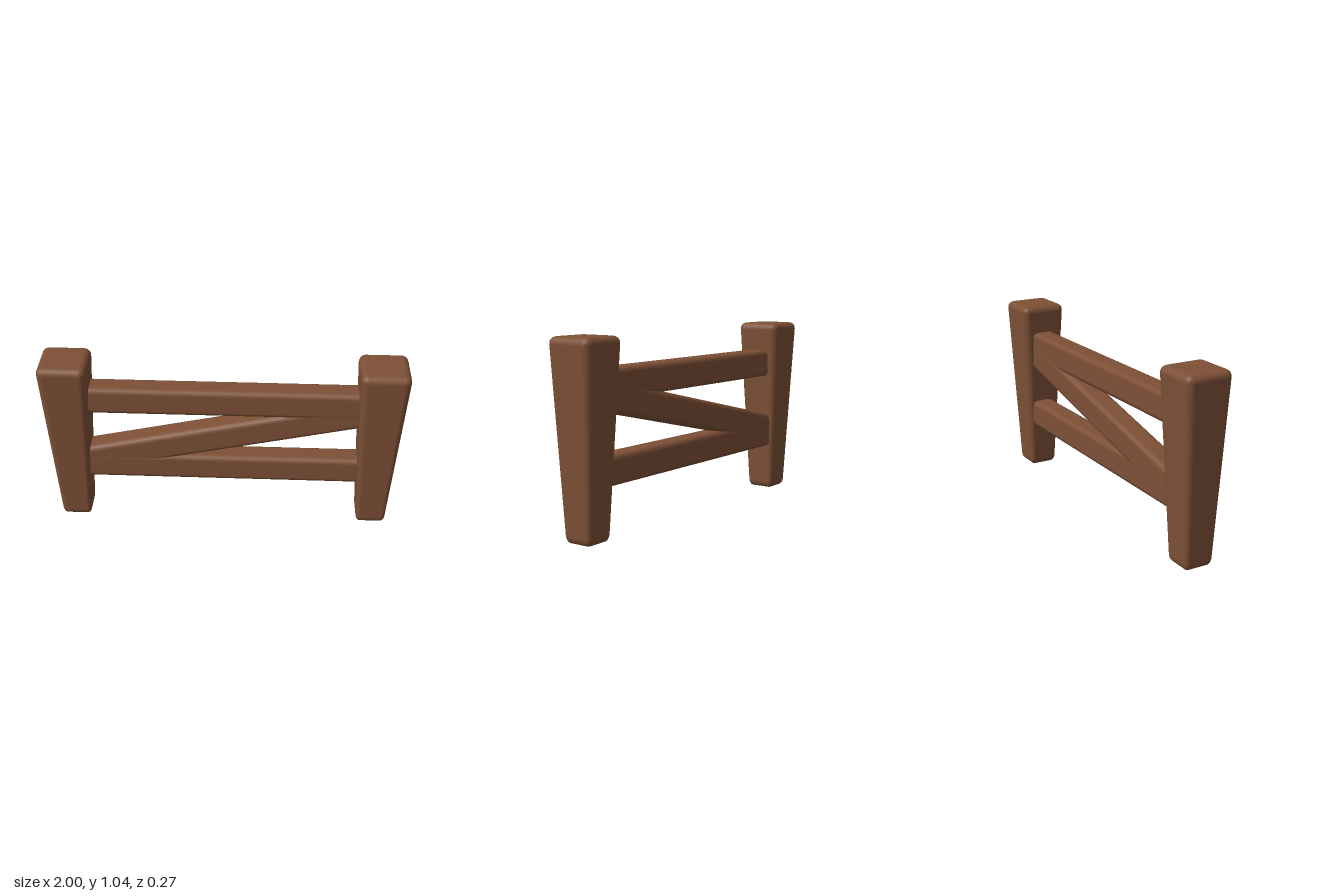
import * as THREE from 'three';
import { RoundedBoxGeometry } from 'three/addons/geometries/RoundedBoxGeometry.js';

const POST_HEIGHT = 1.04, POST_TOP = 0.272, POST_X = 0.864;
const BOTTOM_SCALE = 0.61;

// Rounded square post that narrows towards the ground
function taperedPost() {
  const geo = new RoundedBoxGeometry(POST_TOP, POST_HEIGHT, POST_TOP, 3, 0.04);
  geo.translate(0, POST_HEIGHT / 2, 0);
  const pos = geo.attributes.position, nor = geo.attributes.normal;
  const slope = (1 - BOTTOM_SCALE) / POST_HEIGHT;
  const n = new THREE.Vector3();
  for (let i = 0; i < pos.count; i++) {
    const x = pos.getX(i), y = pos.getY(i), z = pos.getZ(i);
    const s = BOTTOM_SCALE + slope * y;
    pos.setXYZ(i, x * s, y, z * s);
    // tilt the normals to match the taper
    n.fromBufferAttribute(nor, i);
    n.set(n.x / s, n.y - (slope / s) * (x * n.x + z * n.z), n.z / s).normalize();
    nor.setXYZ(i, n.x, n.y, n.z);
  }
  return geo;
}

export function createModel() {
  const group = new THREE.Group();
  const wood = new THREE.MeshStandardMaterial({ color: 0x7d5036 });

  const add = (name, geo, x, y, z, tilt = 0) => {
    const mesh = new THREE.Mesh(geo, wood);
    mesh.name = name;
    mesh.position.set(x, y, z);
    mesh.rotation.z = tilt;
    group.add(mesh);
  };

  // Posts
  const post = taperedPost();
  add('leftPost', post, POST_X, 0, 0);
  add('rightPost', post, -POST_X, 0, 0);

  // Rails and the diagonal brace, their ends sunk into the posts
  const rail = new RoundedBoxGeometry(1.68, 0.162, 0.135, 2, 0.03);
  add('upperRail', rail, 0, 0.795, -0.008);
  add('lowerRail', rail, 0, 0.353, -0.008);
  add('diagonalBrace', rail, 0, 0.565, -0.01, 0.222);

  return group;
}
